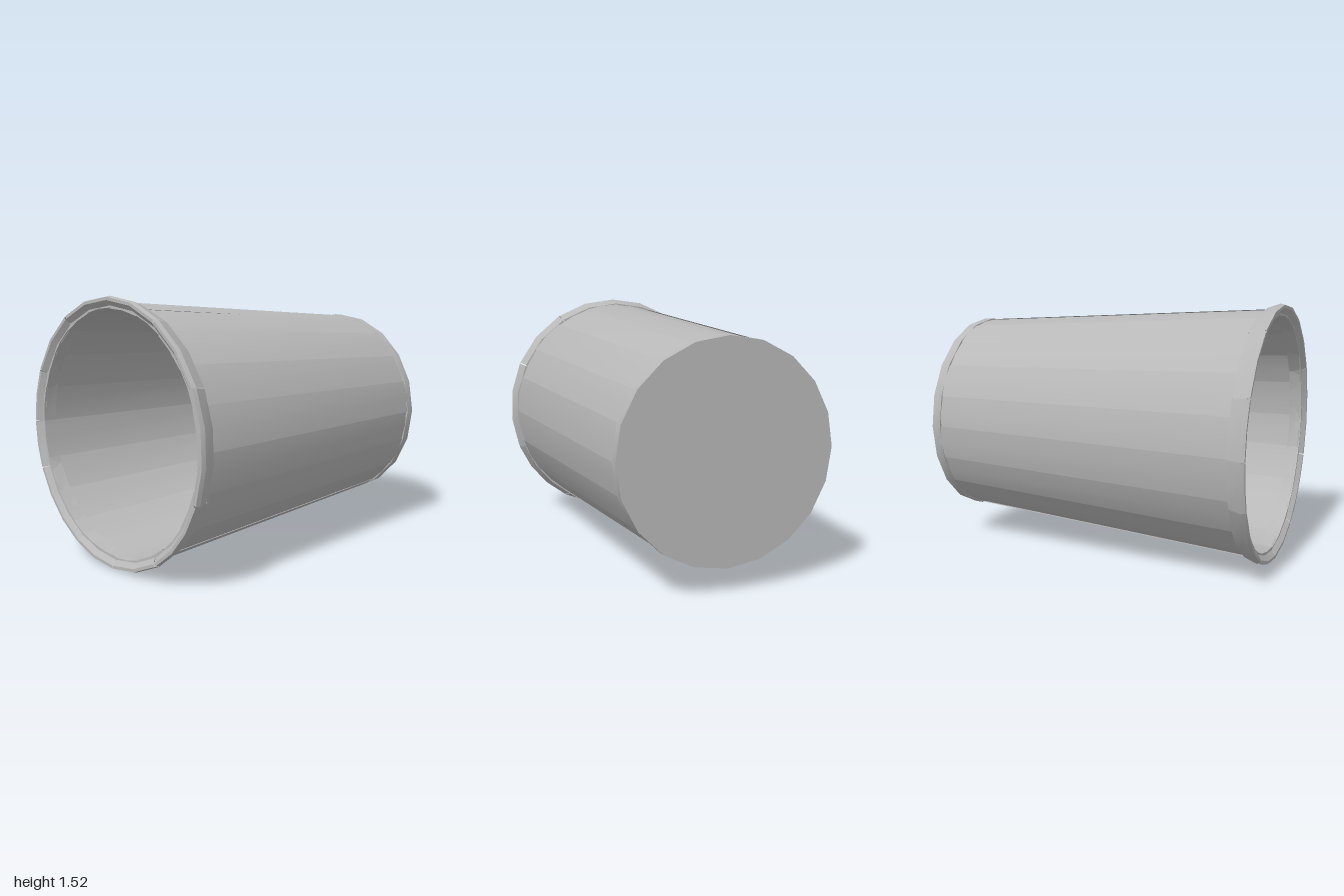
import * as THREE from 'three';
import { toCreasedNormals } from 'three/addons/utils/BufferGeometryUtils.js';

const grey = new THREE.MeshStandardMaterial({ color: 0xb8b8b8, side: THREE.DoubleSide });
grey.name = 'grey';

// Turns a [radius, z] profile about the z axis, from angle a0 to a1 (degrees from +x)
function turned(name, profile, a0, a1, segments, crease) {
  const rad = THREE.MathUtils.degToRad;
  const points = profile.map(([r, z]) => new THREE.Vector2(r, z));
  const geo = new THREE.LatheGeometry(points, segments, rad(a0 + 90), rad(a1 - a0));
  geo.rotateX(Math.PI / 2);
  const mesh = new THREE.Mesh(toCreasedNormals(geo, crease), grey);
  mesh.name = name;
  return mesh;
}

export function createModel() {
  const model = new THREE.Group();
  model.name = 'cup';
  const cup = new THREE.Group();
  cup.name = 'cupBody';
  cup.position.y = 0.763;
  model.add(cup);

  // Tapered wall of narrow staves, every other one a hair lower
  const staves = 20, step = 360 / staves;
  for (let i = 0; i < staves; i++) {
    const d = i % 2 ? 0.005 : 0;
    cup.add(turned('stave', [
      [0.613 - d, -0.97], [0.725 - d, 0.92], [0.715, 0.975],
      [0.69 + d, 0.975], [0.59 + d, -0.95],
    ], i * step - 0.4, (i + 1) * step + 0.4, 2, 0.6));
  }

  // Flared lip in uneven pieces with thin gaps
  const joints = [25, 58, 122, 155, 180, 202, 243, 270, 300, 339, 385];
  for (let i = 0; i < joints.length - 1; i++) {
    const a = joints[i], b = joints[i + 1];
    cup.add(turned('rimPiece', [
      [0.69, 0.9], [0.731, 0.9], [0.758, 0.975], [0.752, 1],
      [0.735, 1], [0.695, 0.965], [0.688, 0.9],
    ], a + 0.3, b - 0.3, Math.max(2, Math.round((b - a) / 15)), 0.3));
  }

  // Closed end with a shallow foot ring and an inside floor
  cup.add(turned('base', [
    [0, -1], [0.618, -1], [0.62, -0.945], [0.6, -0.94], [0, -0.94],
  ], 0, 360, 20, 0.5));

  return model;
}
